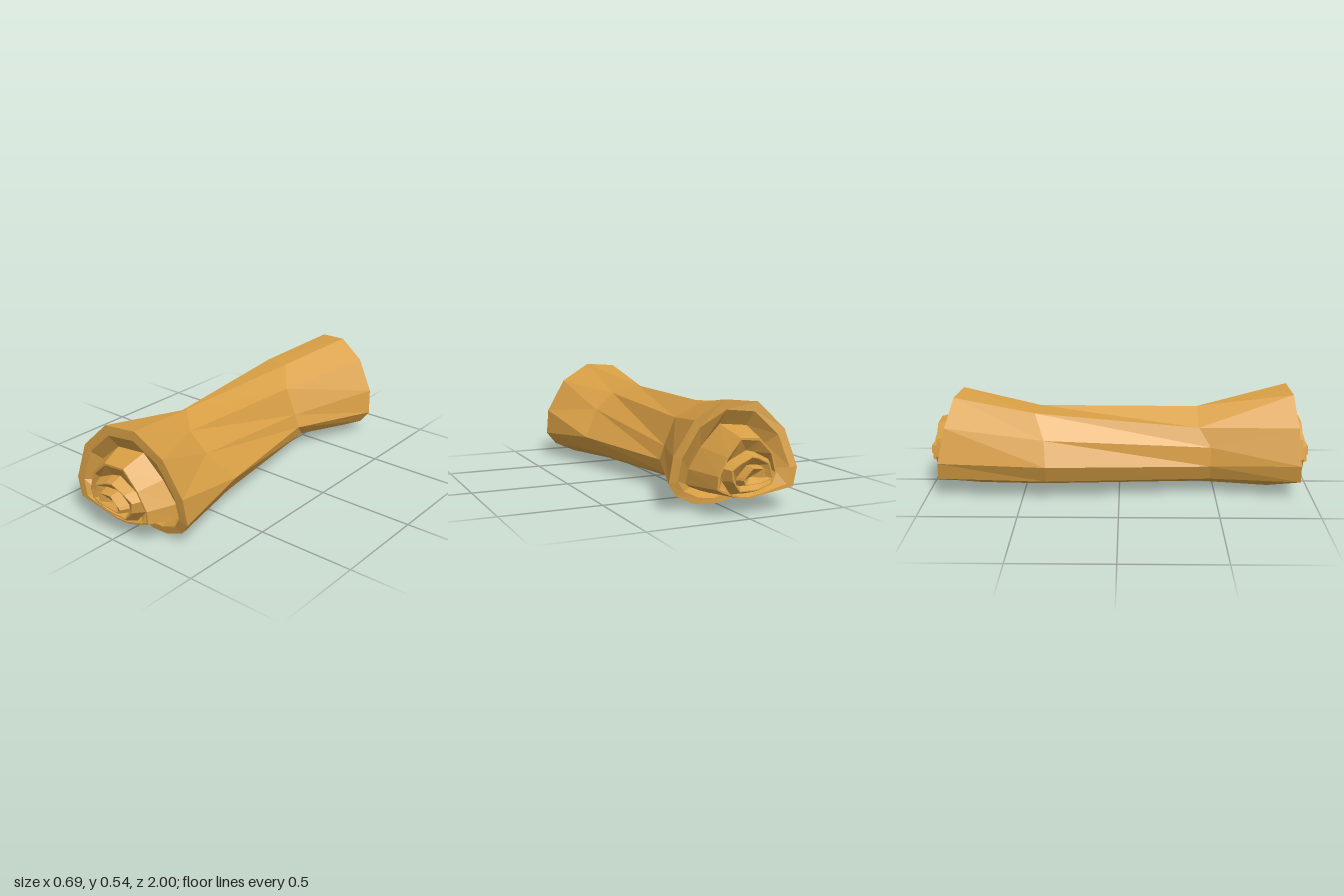
import * as THREE from 'three';

// Rolled blanket: an outer wrap lofted along z, with a spiral of folds closing each end.
const TURN = 13; // points per turn of the spiral
const SPIRAL = [
  // outer turn, starting at the loose flap underneath
  [-.16, .04], [-.04, .015], [.07, 0], [.18, .015], [.29, .065], [.34, .13], [.325, .265],
  [.22, .44], [.06, .535], [-.115, .52], [-.255, .385], [-.31, .2], [-.285, .105],
  // second turn
  [-.15, .052], [-.03, .037], [.06, .045], [.13, .065], [.2, .09], [.24, .11], [.235, .19],
  [.17, .3], [.065, .41], [-.09, .4], [-.19, .31], [-.225, .19], [-.185, .12],
  // third turn
  [-.08, .09], [-.02, .088], [.04, .09], [.08, .09], [.11, .125], [.14, .16], [.15, .225],
  [.09, .26], [-.01, .3], [-.06, .29], [-.15, .25], [-.165, .2], [-.175, .16],
  // core
  [-.09, .14], [-.04, .137], [0, .135], [.04, .135], [.06, .14], [.07, .165], [.06, .18],
  [.04, .2], [0, .235], [-.04, .233], [-.08, .23], [-.085, .2], [-.09, .175],
];
const N = SPIRAL.length;
const CORE = [-.01, .18];
const GROOVE = .05; // depth of the groove between two turns

// Inner turns stick out further at both ends
const inward = (i) => (Math.max(0, i - 11) / (N - 12)) ** .75;
const frontZ = (i) => .775 + .0135 * Math.min(i, 11) + .0765 * inward(i);
const backZ = (i) => -(.72 + .0017 * Math.min(i, 11) ** 2 + .0743 * inward(i));

// Ends: facing, x scale, x scale of inner turns, x shift, y scale, y shift, z rule
const FRONT = { dir: 1, sx: 1, coil: 1, dx: 0, sy: 1, dy: 0, z: frontZ };
const BACK = { dir: -1, sx: .88, coil: .9, dx: -.015, sy: .94, dy: .01, z: backZ };

// Waist sections of the outer wrap, in the same order as the outer turn
const FRONT_WAIST = [
  [-.14, .055, .42], [-.04, .035, .42], [.04, .03, .42], [.11, .035, .4], [.2, .08, .4],
  [.25, .165, .4], [.15, .306, .5], [.045, .395, .5], [-.07, .445, .4], [-.19, .365, .41],
  [-.225, .27, .47], [-.235, .17, .47], [-.2, .09, .47],
];
const BACK_WAIST = [
  [-.2, .06, -.4], [-.13, .035, -.42], [-.06, .03, -.42], [.01, .045, -.4], [.086, .08, -.37],
  [.115, .15, -.3], [.09, .22, -.3], [.03, .36, -.3], [-.067, .447, -.41], [-.2, .442, -.43],
  [-.29, .325, -.38], [-.345, .2, -.37], [-.305, .11, -.37],
];

// Spiral point i at an end, pulled towards the core by a fraction, at height z
function place(end, i, inset, z) {
  const [px, py] = SPIRAL[i] ?? CORE;
  const x = px + (CORE[0] - px) * inset, y = py + (.2 - py) * inset;
  const sx = end.sx * (i >= TURN ? end.coil : 1);
  return new THREE.Vector3(x * sx + end.dx, y * end.sy + end.dy, z);
}

// Outer edge of a fold; the folds of the inner turns slope in
const crest = (end, i) => place(end, i, i < TURN ? 0 : .2, end.z(i));

function geometryFrom(pos) {
  const geo = new THREE.BufferGeometry();
  geo.setAttribute('position', new THREE.Float32BufferAttribute(pos, 3));
  geo.computeVertexNormals();
  return geo;
}

const addTri = (pos, ...corners) => corners.forEach((v) => pos.push(v.x, v.y, v.z));
const addQuad = (pos, a, b, c, d) => addTri(pos, a, b, c, a, c, d);

// Outer wrap between the two ends
function wrapGeometry() {
  const pos = [];
  const endRing = (end) => Array.from({ length: TURN }, (_, i) => crest(end, i));
  const waistRing = (points) => points.map((p) => new THREE.Vector3(...p));
  const rings = [endRing(FRONT), waistRing(FRONT_WAIST), waistRing(BACK_WAIST), endRing(BACK)];
  for (let s = 0; s < rings.length - 1; s++) {
    const f = rings[s], b = rings[s + 1];
    for (let i = 0; i < TURN; i++) {
      const j = (i + 1) % TURN;
      addQuad(pos, b[i], b[j], f[j], f[i]);
    }
  }
  return geometryFrom(pos);
}

// Spiral end: cloth edge, groove wall, and the side of the next turn
function endGeometry(end) {
  const pos = [];
  const row = (i) => {
    const next = i + TURN;
    const floorZ = end.z(i) - end.dir * GROOVE * (i < TURN ? 1 : .7);
    return [
      crest(end, i),
      place(end, i, i < TURN ? .15 : .25, end.z(i)),
      place(end, next, 0, floorZ),
      next < N ? crest(end, next) : place(end, next, 0, floorZ),
    ];
  };
  for (let i = 0; i < N - 1; i++) {
    const a = row(i), b = row(i + 1);
    for (let k = 0; k < 3; k++) {
      if (end.dir > 0) addQuad(pos, a[k], b[k], b[k + 1], a[k + 1]);
      else addQuad(pos, a[k + 1], b[k + 1], b[k], a[k]);
    }
  }
  // open edge of the flap, and the gap where the second turn slips under it
  addQuad(pos, ...row(0));
  addTri(pos, crest(end, TURN - 1), crest(end, 0), crest(end, TURN));
  return geometryFrom(pos);
}

export function createModel() {
  const group = new THREE.Group();
  group.name = 'bedroll';
  const cloth = new THREE.MeshStandardMaterial({
    color: 0xd89f45, flatShading: true, side: THREE.DoubleSide,
  });
  cloth.name = 'tan cloth';
  const add = (name, geometry) => {
    const mesh = new THREE.Mesh(geometry, cloth);
    mesh.name = name;
    group.add(mesh);
  };
  add('outerWrap', wrapGeometry());
  add('frontSpiral', endGeometry(FRONT));
  add('backSpiral', endGeometry(BACK));
  return group;
}
